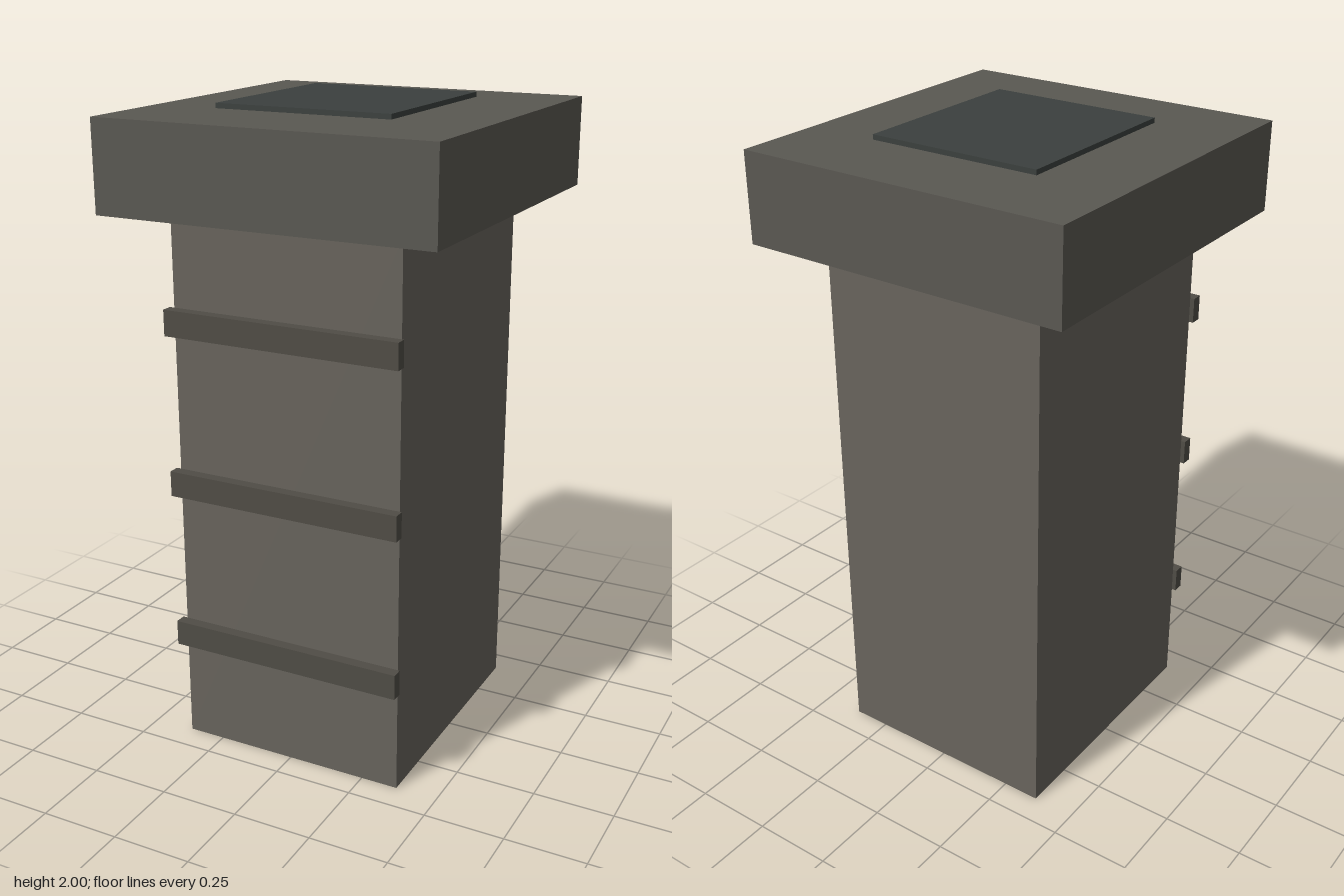
import * as THREE from 'three';

// Box given by its size, bottom height and z centre
function block(name, [w, h, d], bottom, z, color) {
  const mesh = new THREE.Mesh(
    new THREE.BoxGeometry(w, h, d),
    new THREE.MeshStandardMaterial({ color })
  );
  mesh.name = name;
  mesh.position.set(0, bottom + h / 2, z);
  return mesh;
}

export function createModel() {
  const model = new THREE.Group();
  model.name = 'pillar';

  // Square shaft and overhanging cap
  model.add(block('shaft', [0.736, 1.7, 0.824], 0, 0, 0x68645d));
  model.add(block('cap', [1.054, 0.275, 1.1], 1.7, 0, 0x5a5852));

  // Thin dark plate just above the cap
  model.add(block('topPlate', [0.552, 0.015, 0.598], 1.985, 0, 0x3b403e));

  // Three bars standing just off the front face
  const bars = new THREE.Group();
  bars.name = 'frontBars';
  for (let i = 0; i < 3; i++) {
    bars.add(block(`frontBar${i + 1}`, [0.756, 0.08, 0.035], 0.33 + i * 0.505, 0.4375, 0x504d46));
  }
  model.add(bars);

  return model;
}
